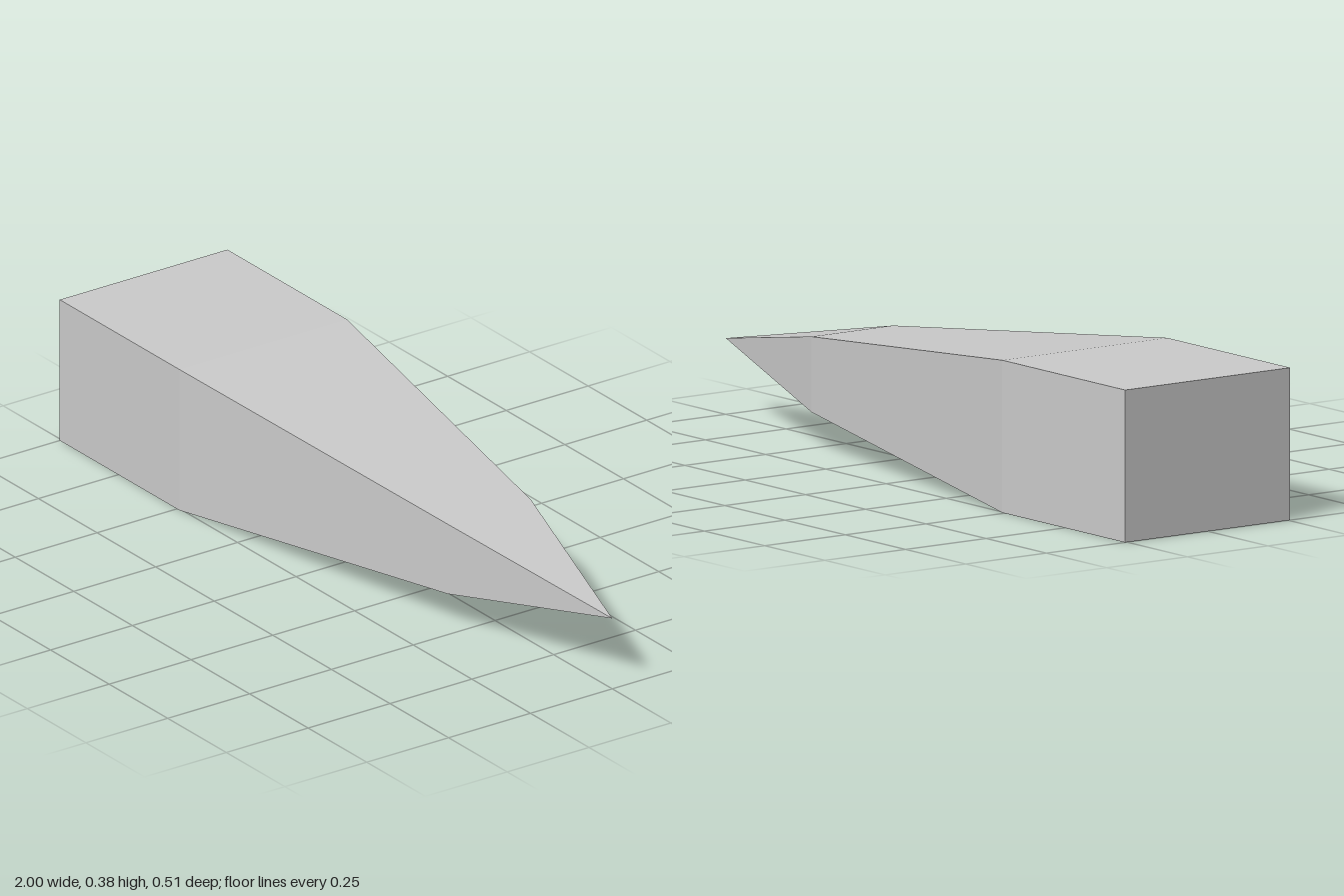
import * as THREE from 'three';

const HALF_HEIGHT = 0.1925;
const HALF_DEPTH = 0.256;

export function createModel() {
  const group = new THREE.Group();
  group.name = 'taperedSpike';

  // Profile along the length: [half-width factor, x]
  const profile = [[0, -1], [1, -1], [1, -0.49], [0.495, 0.475], [0, 1]]
    .map(([r, x]) => new THREE.Vector2(r * Math.SQRT2, x));

  // Four-sided lathe, turned so its flat sides face up, down, front and back
  const geometry = new THREE.LatheGeometry(profile, 4);
  geometry.rotateY(Math.PI / 4);
  geometry.rotateZ(-Math.PI / 2);
  geometry.scale(1, HALF_HEIGHT, HALF_DEPTH);
  geometry.translate(0, HALF_HEIGHT, 0);

  const flat = geometry.toNonIndexed();
  flat.computeVertexNormals();

  const spike = new THREE.Mesh(
    flat,
    new THREE.MeshStandardMaterial({ color: 0xcccccc, flatShading: true })
  );
  spike.name = 'spikeBody';
  group.add(spike);
  return group;
}
